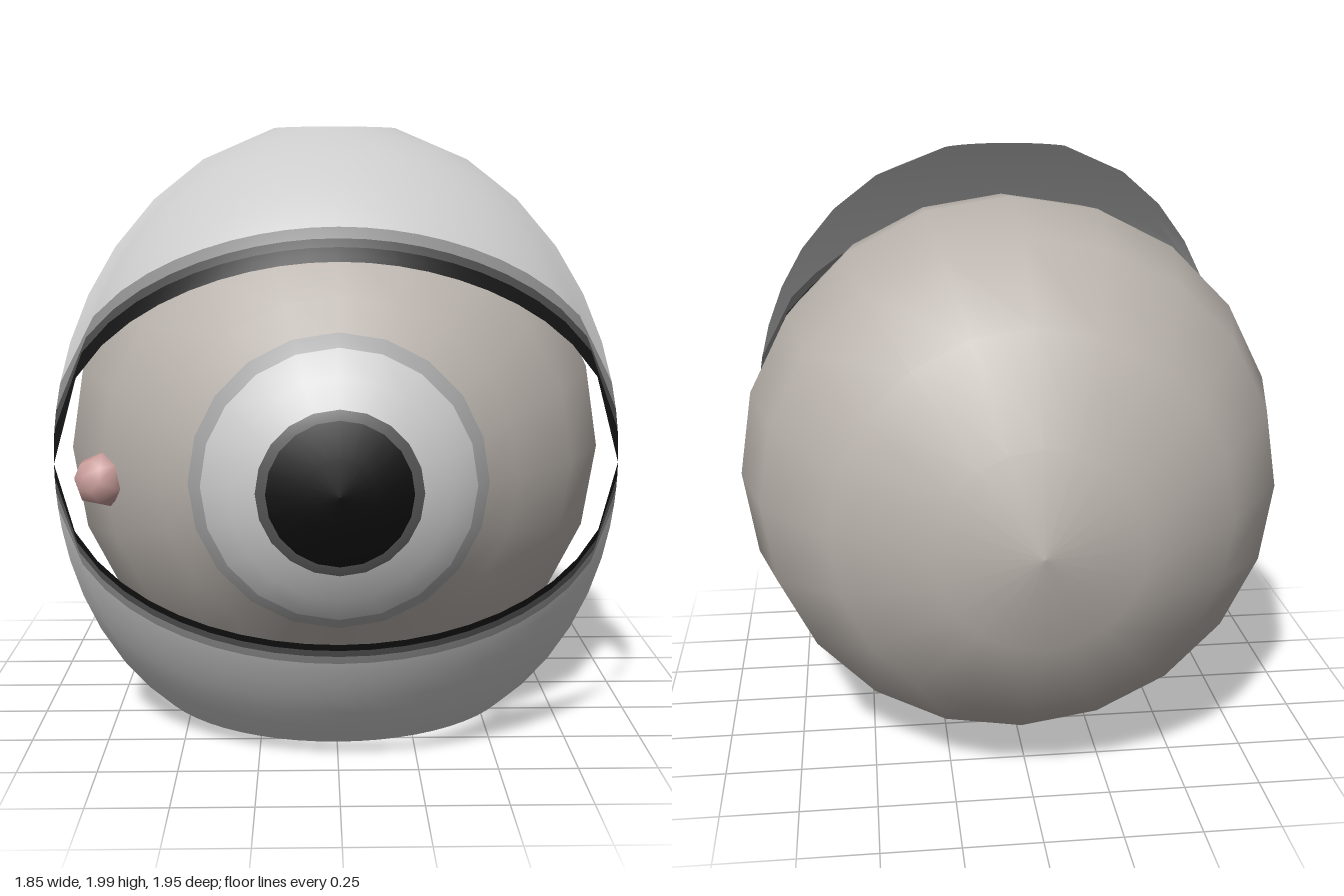
import * as THREE from 'three';

const CENTRE_Y = 0.935, CENTRE_Z = -0.05, SIDES = 20;

function material(color, side = THREE.FrontSide) {
  return new THREE.MeshStandardMaterial({ color, side });
}

// Splits a smooth grid surface into coloured bands of rows, keeping its shared normals.
function addBands(group, geometry, rowCount, bands, side) {
  const index = Array.from(geometry.index.array);
  for (const [name, from, to, color] of bands) {
    const part = geometry.clone();
    part.setIndex(index.filter((_, k) => {
      const row = Math.floor(k / 6) % rowCount;
      return row >= from && row < to;
    }));
    const mesh = new THREE.Mesh(part.toNonIndexed(), material(color, side));
    mesh.name = name;
    group.add(mesh);
  }
}

// Eyeball: a lathe along z, spherical at the back with a bulging cornea in front.
function createEyeball() {
  const group = new THREE.Group();
  group.name = 'eyeball';
  const points = [0, 20, 42.6, 65.5, 86, 106, 126, 143.5].map((deg) => {
    const a = THREE.MathUtils.degToRad(deg);
    return new THREE.Vector2(0.925 * Math.sin(a), -0.925 * Math.cos(a));
  });
  const cornea = [[0.45, 0.785], [0.41, 0.83], [0.33, 0.89], [0.245, 0.93],
    [0.215, 0.942], [0.11, 0.971], [0, 0.98]];
  for (const [r, z] of cornea) points.push(new THREE.Vector2(r, z - CENTRE_Z));

  const geometry = new THREE.LatheGeometry(points, SIDES);
  geometry.rotateX(Math.PI / 2);
  addBands(group, geometry, points.length - 1, [
    ['sclera', 0, 8, 0xbab3ad],
    ['irisBorder', 8, 9, 0xa5a5a5],
    ['iris', 9, 11, 0xcccccc],
    ['pupilBorder', 11, 12, 0x555555],
    ['pupil', 12, 14, 0x0a0a0a],
  ]);
  group.position.set(0, CENTRE_Y, CENTRE_Z);
  return group;
}

// Eyelid: a thin ellipsoid patch between an elliptical rim and a level cut.
function createLid(name, rimHeight, cutHeight, radiusY, bands) {
  const group = new THREE.Group();
  group.name = name;
  const radius = 1.05, halfAngle = THREE.MathUtils.degToRad(59);
  const rows = [0, 0.05, 0.1, 0.16, 0.24, 0.36, 0.5, 0.64, 0.78, 0.9, 1];
  const up = cutHeight > 0;
  const positions = [], index = [];
  for (let i = 0; i <= SIDES; i++) {
    const t = (2 * i) / SIDES - 1;
    const rim = rimHeight * Math.sqrt(Math.max(0, 1 - t * t));
    for (const f of rows) {
      const y = THREE.MathUtils.lerp(rim, cutHeight, f);
      const r = radius * Math.sqrt(1 - (y / radiusY) ** 2);
      positions.push(r * Math.sin(t * halfAngle), y, r * Math.cos(t * halfAngle));
    }
  }
  const n = rows.length;
  for (let i = 0; i < SIDES; i++) {
    for (let j = 0; j < n - 1; j++) {
      const a = i * n + j, b = a + n, c = b + 1, d = a + 1;
      index.push(...(up ? [a, b, c, a, c, d] : [a, c, b, a, d, c]));
    }
  }
  const geometry = new THREE.BufferGeometry();
  geometry.setAttribute('position', new THREE.Float32BufferAttribute(positions, 3));
  geometry.setIndex(index);
  geometry.computeVertexNormals();
  addBands(group, geometry, n - 1, bands, THREE.DoubleSide);
  group.position.set(0, CENTRE_Y, CENTRE_Z);
  return group;
}

export function createModel() {
  const model = new THREE.Group();
  model.name = 'eye';
  model.add(createEyeball());

  // Lids darken towards their rims
  model.add(createLid('upperLid', 0.655, 1.065, 1.093, [
    ['upperLidRim', 0, 2, 0x141414],
    ['upperLidShade', 2, 3, 0x4a4a4a],
    ['upperLidFade', 3, 4, 0x8c8c8c],
    ['upperLidSkin', 4, 10, 0xcccccc],
  ]));
  model.add(createLid('lowerLid', -0.46, -0.895, 1.134, [
    ['lowerLidRim', 0, 1, 0x141414],
    ['lowerLidShade', 1, 2, 0x5a5a5a],
    ['lowerLidFade', 2, 3, 0x999999],
    ['lowerLidSkin', 3, 10, 0xcccccc],
  ]));

  // Small pink bump in the inner corner
  const bump = new THREE.Mesh(new THREE.SphereGeometry(0.088, 7, 5), material(0xc99d9a));
  bump.name = 'tearDuct';
  bump.position.set(-0.75, 0.885, 0.5);
  bump.rotation.set(1.2, 0, 0.5);
  model.add(bump);
  return model;
}
